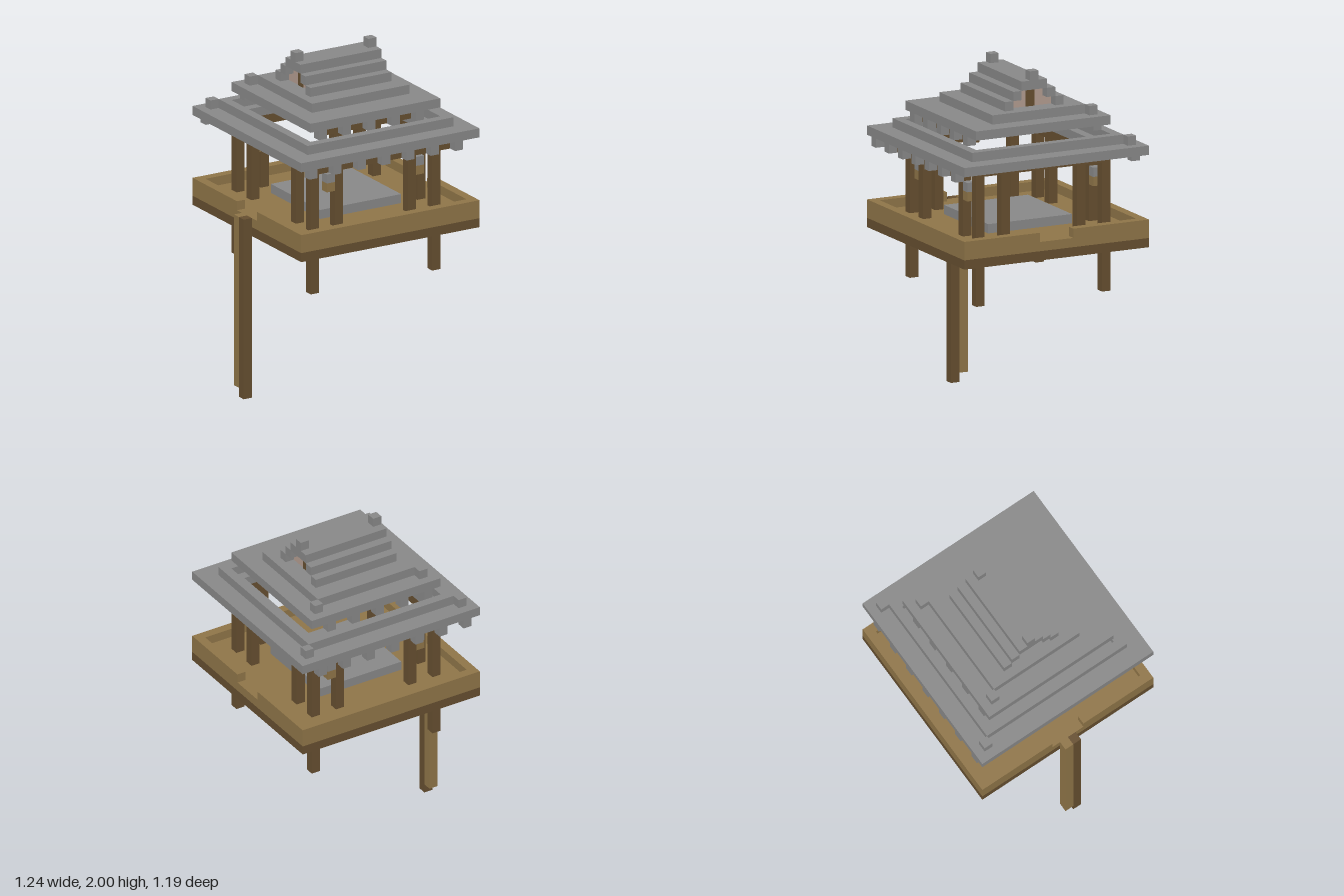
import * as THREE from 'three';

const U = 2 / 37; // one block

const mat = (name, color) => {
  const m = new THREE.MeshStandardMaterial({ color });
  m.name = name;
  return m;
};

export function createModel() {
  const model = new THREE.Group();
  model.name = 'pavilion';
  const stone = mat('grey stone', 0x888888);
  const oak = mat('light wood', 0x8f7548);
  const timber = mat('dark wood', 0x664f30);
  const plaster = mat('pale plaster', 0xb39c90);

  // Box between two block-grid corners: x 0..23, y 0..37, z 0..22
  const block = (name, m, x0, x1, y0, y1, z0, z1) => {
    const mesh = new THREE.Mesh(
      new THREE.BoxGeometry((x1 - x0) * U, (y1 - y0) * U, (z1 - z0) * U), m);
    mesh.position.set(((x0 + x1) / 2 - 11.5) * U, (y0 + y1) / 2 * U, ((z0 + z1) / 2 - 11) * U);
    mesh.name = name;
    model.add(mesh);
    return mesh;
  };

  // Rectangular frame of bars of width w
  const frame = (name, m, x0, x1, y0, y1, z0, z1, w) => {
    block(name, m, x0, x1, y0, y1, z0, z0 + w);
    block(name, m, x0, x1, y0, y1, z1 - w, z1);
    block(name, m, x0, x0 + w, y0, y1, z0 + w, z1 - w);
    block(name, m, x1 - w, x1, y0, y1, z0 + w, z1 - w);
  };

  // Tall double post on the right side
  block('supportPost', timber, 0, 1, 0, 20, 11, 12);
  block('supportPostBack', oak, 0, 1, 1, 20, 10, 11);

  // Platform: lower frame, floor, and rim with an opening on each side
  frame('platformFrame', timber, 1, 23, 18, 19, 0, 22, 1);
  block('floor', oak, 1, 23, 19, 20, 0, 22);
  block('rimBack', oak, 1, 23, 20, 21, 0, 1);
  block('rimFront', oak, 1, 23, 20, 21, 21, 22);
  for (const x of [1, 22]) {
    block('rimSide', oak, x, x + 1, 20, 21, 1, 9);
    block('rimSide', oak, x, x + 1, 20, 21, 13, 21);
  }
  block('hearthSlab', stone, 7, 17, 20, 21, 6, 16);

  // Legs, three columns and a lantern at every corner
  for (const right of [true, false]) {
    for (const back of [true, false]) {
      const xOuter = right ? 4 : 19, xInner = right ? 7 : 16, xLamp = right ? 6 : 17;
      const zOuter = back ? 3 : 18, zInner = back ? 6 : 15;
      block('leg', timber, xOuter, xOuter + 1, 13, 19, zOuter, zOuter + 1);
      for (const [x, z] of [[xOuter, zOuter], [xInner, zOuter], [xOuter, zInner]])
        block('column', timber, x, x + 1, 20, 27, z, z + 1);
      block('lantern', oak, xLamp, xLamp + 1, 24, 25, zOuter, zOuter + 1);
      block('lanternCap', stone, xLamp, xLamp + 1, 25, 26, zOuter, zOuter + 1);
    }
  }
  frame('topBeam', timber, 4, 20, 27, 28, 3, 19, 1);

  // Rafter ends along the front and back eaves, with a beam behind the front row
  const rafters = (first, last, y, zBack, zFront) => {
    for (let x = first; x <= last; x += 3) {
      block('rafterEnd', stone, x, x + 1, y, y + 1, zBack, zBack + 1);
      block('rafterEnd', stone, x, x + 1, y, y + 1, zFront, zFront + 1);
    }
    block('eaveBeam', timber, first + 1, last, y, y + 1, zFront - 1, zFront);
  };

  // Lower roof
  rafters(2, 20, 27, 0, 21);
  frame('lowerEave', stone, 1, 23, 28, 29, 0, 22, 4);
  frame('lowerRoofStep', stone, 3, 21, 29, 30, 2, 20, 1);
  for (const x of [2, 21]) block('lowerRoofFinial', stone, x, x + 1, 29, 30, 1, 2);

  // Upper roof
  rafters(5, 17, 30, 3, 18);
  block('upperEave', stone, 4, 20, 31, 32, 3, 19);
  block('upperRoofStep', stone, 6, 18, 32, 33, 5, 16);
  for (const x of [5, 18]) block('upperRoofFinial', stone, x, x + 1, 32, 33, 4, 5);

  // Stepped gable with recessed plaster ends
  for (let s = 0; s < 2; s++) {
    block('gableStep', stone, 7, 17, 33 + s, 34 + s, 7 + s, 8 + s);
    block('gableStep', stone, 7, 17, 33 + s, 34 + s, 13 - s, 14 - s);
    block('gableWall', plaster, 8, 16, 33 + s, 34 + s, 8 + s, 13 - s);
  }
  block('gableRidge', stone, 7, 17, 35, 36, 9, 12);
  for (const x of [8, 16]) block('gablePost', timber, x - 0.08, x + 0.08, 33, 35, 10, 11);
  for (const x of [7, 16]) block('ridgeFinial', stone, x, x + 1, 36, 37, 10, 11);

  return model;
}
